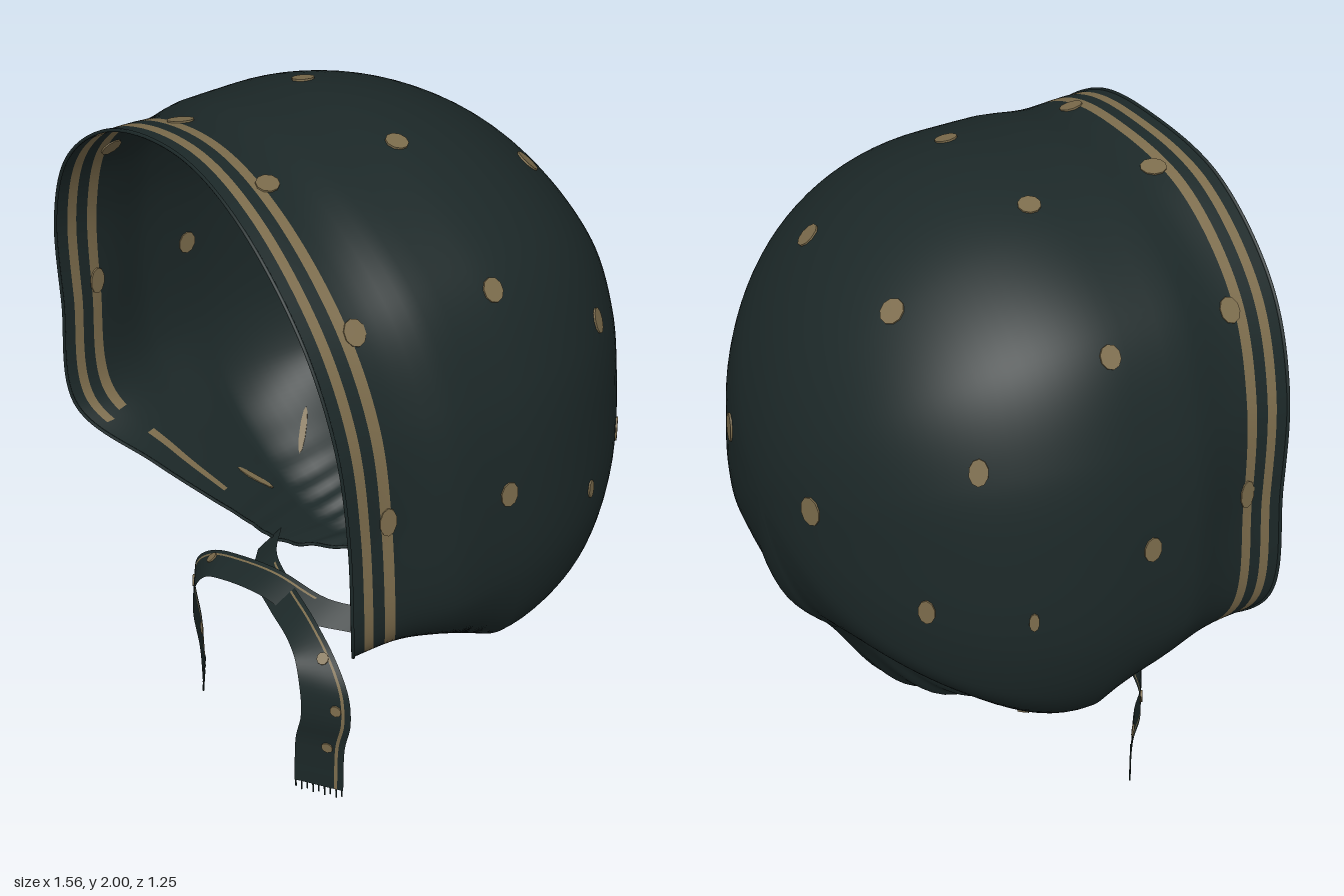
import * as THREE from 'three';

const cloth = new THREE.MeshStandardMaterial({ color: 0x1c2828, side: THREE.DoubleSide });
cloth.name = 'dark cloth';
const gold = new THREE.MeshStandardMaterial({ color: 0x7c6c4c, side: THREE.DoubleSide });
gold.name = 'old gold';

const BACK = -0.62, MID = 1.2;
const { smoothstep: smooth, lerp } = THREE.MathUtils;

// Half loops from the crown down the side to the nape; mirrored into closed curves
const rimHalf = [
  [0, 2.0, 0.605], [0.3, 1.945, 0.62], [0.55, 1.755, 0.62], [0.677, 1.5, 0.605], [0.708, 1.2, 0.585],
  [0.7, 0.85, 0.57], [0.5, 0.7, 0.43], [0.3, 0.57, 0.28], [0.22, 0.48, 0.18], [0.16, 0.425, 0.02], [0, 0.425, -0.14]];
// Widest outline of the hood; third value is the depth where the back starts to round off
const girthHalf = [
  [0, 2.0, 0.15], [0.315, 1.94, 0.15], [0.585, 1.77, 0.13], [0.722, 1.5, 0.1], [0.772, 1.2, 0.1],
  [0.764, 0.9, 0.08], [0.66, 0.66, 0.05], [0.44, 0.51, 0.03], [0.26, 0.44, 0], [0.15, 0.415, -0.1], [0, 0.41, -0.17]];

function closedLoop(half) {
  const mirrored = half.slice(1, -1).reverse().map(([x, y, z]) => [-x, y, z]);
  return new THREE.CatmullRomCurve3([...half, ...mirrored].map(p => new THREE.Vector3(...p)), true, 'catmullrom', 0.5);
}
const rim = closedLoop(rimHalf), girth = closedLoop(girthHalf);

// Grid surface in two colours: rows x cols of points, gold where isGold(i, j) says so
function sheet(name, nu, nv, closed, point, isGold) {
  const pos = [], plain = [], marked = [];
  const stride = nv + 1, columns = closed ? nu : nu + 1;
  for (let i = 0; i < columns; i++)
    for (let j = 0; j <= nv; j++) pos.push(...point(i, j).toArray());
  for (let i = 0; i < nu; i++) {
    const n = (i + 1) % columns;
    for (let j = 0; j < nv; j++) {
      const a = i * stride + j, b = n * stride + j;
      (isGold(i, j) ? marked : plain).push(a, b, a + 1, b, b + 1, a + 1);
    }
  }
  const g = new THREE.BufferGeometry();
  g.setAttribute('position', new THREE.Float32BufferAttribute(pos, 3));
  g.setIndex([...plain, ...marked]);
  g.addGroup(0, plain.length, 0);
  g.addGroup(plain.length, marked.length, 1);
  g.computeVertexNormals();
  const mesh = new THREE.Mesh(g, [cloth, gold]);
  mesh.name = name;
  return mesh;
}

// Front part runs from the rim (w = 1) to the girth (w = 0), then the back closes to a pole
const frontSteps = [1, 0.925, 0.868, 0.798, 0.735, 0.66, 0.58, 0.5, 0.42, 0.34, 0.22, 0.1, 0];
const backSteps = 30;
function hoodPoint(t, j) {
  const r = rim.getPoint(t), o = girth.getPoint(t), p = new THREE.Vector3();
  if (j < frontSteps.length) {
    // Turned in sharply at the front edge, sloping evenly under the jaw
    const w = frontSteps[j], jaw = 1 - smooth(r.y, 0.68, 0.86);
    const b = lerp(smooth(w, 0.3, 0.88), w, jaw);
    const pinch = 1 - 0.013 * (1 - jaw) * Math.sin(Math.PI * b);
    p.set(lerp(o.x, r.x, b) * pinch, MID + (lerp(o.y, r.y, b) - MID) * pinch, lerp(o.z, r.z, w));
  } else {
    // Rounded back, drawn in slightly toward the nape
    const a = (j - frontSteps.length + 1) / backSteps * Math.PI / 2;
    const c = Math.max(Math.cos(a), 0), low = 1 - smooth(o.y, 0.4, 0.75);
    const f = c * (1 - 0.21 * low * Math.sin(Math.PI * Math.pow(c, 2.8)));
    p.set(o.x * f, MID + (o.y - MID) * f, o.z - (o.z - BACK) * Math.sin(a));
  }
  // Fine gathers fading upward from the neck
  const fold = 0.005 * (1 - smooth(p.y, 0.42, 0.66)) * Math.sin(t * Math.PI * 2 * 42 + 2 * Math.sin(t * 40));
  const d = new THREE.Vector3(p.x, p.y - MID, 0);
  if (d.length() > 0.1) p.addScaledVector(d.normalize(), fold);
  return p;
}

// Flat spot laid on the nearest place of a surface, showing on both faces
function spot(surface, x, y, z, rx, ry) {
  const pos = surface.geometry.attributes.position, nor = surface.geometry.attributes.normal;
  const target = new THREE.Vector3(x, y, z), v = new THREE.Vector3();
  let best = 0, bestD = Infinity;
  for (let i = 0; i < pos.count; i++) {
    const d = v.fromBufferAttribute(pos, i).distanceToSquared(target);
    if (d < bestD) { bestD = d; best = i; }
  }
  v.fromBufferAttribute(pos, best);
  const n = new THREE.Vector3().fromBufferAttribute(nor, best);
  target.addScaledVector(n, -target.clone().sub(v).dot(n));
  const g = new THREE.CylinderGeometry(1, 1, 0.008, 10).rotateX(Math.PI / 2).scale(rx, ry, 1);
  const mesh = new THREE.Mesh(g, gold);
  mesh.name = 'spot';
  mesh.position.copy(target);
  mesh.lookAt(target.clone().add(n));
  return mesh;
}

// Tie ribbon crossing under the chin, then hanging down with a frayed end
function ribbon(side, lift) {
  const group = new THREE.Group();
  group.name = side > 0 ? 'leftTie' : 'rightTie';
  const path = new THREE.CatmullRomCurve3([
    [-0.24, 0.49, 0.21], [-0.13, 0.5, 0.3], [0.03, 0.505 + lift, 0.35], [0.17, 0.498, 0.38], [0.27, 0.462, 0.4],
    [0.33, 0.395, 0.412], [0.342, 0.3, 0.415], [0.312, 0.19, 0.415], [0.303, 0.03 + 1.2 * lift, 0.415],
  ].map(p => new THREE.Vector3(...p)));
  const across = [-1, -0.4, 0.2, 0.62, 0.75, 1];
  const edge = t => {
    const turn = smooth(t, 0.3, 0.66);
    return new THREE.Vector3(0.061 * turn, 0.022 * (1 - turn), -0.042);
  };
  const at = (t, u) => {
    const p = path.getPoint(t).addScaledVector(edge(t), u);
    p.x *= side;
    return p;
  };
  const band = sheet('tieRibbon', 48, 5, false, (i, j) => at(i / 48, across[j]), (i, j) => j === 3 && i > 6);
  group.add(band);
  for (const [t, u] of [[0.5, 0.4], [0.7, 0.4], [0.88, 0.3]]) {
    const p = at(t, u);
    group.add(spot(band, p.x, p.y, p.z, 0.017, 0.018));
  }
  for (let k = 0; k < 9; k++) {
    const len = 0.022 + 0.008 * (k % 2);
    const thread = new THREE.Mesh(new THREE.BoxGeometry(0.004, len, 0.003), cloth);
    thread.name = 'fringeThread';
    thread.position.copy(at(1, -0.95 + k * 0.237)).y -= len / 2;
    group.add(thread);
  }
  return group;
}

export function createModel() {
  const model = new THREE.Group();
  model.name = 'bonnet';

  // Hood with two trim stripes along the front edge; the inner one reappears under the jaw
  const N = 300, rows = frontSteps.length - 1 + backSteps;
  const hood = sheet('hood', N, rows, true, (i, j) => hoodPoint(i / N, j), (i, j) => {
    const y = rim.getPoint((i + 0.5) / N).y;
    return (j === 1 && y > 0.78) || (j === 3 && (y > 0.8 || (y > 0.61 && y < 0.745)));
  });
  model.add(hood);

  // Rolled hem along the opening
  const hemPath = new THREE.CatmullRomCurve3(Array.from({ length: 150 }, (_, i) => hoodPoint(i / 150, 0)), true);
  const hem = new THREE.Mesh(new THREE.TubeGeometry(hemPath, 300, 0.005, 6, true), cloth);
  hem.name = 'hem';
  model.add(hem);

  // Scattered spots, mirrored left and right: position, half width, half height
  const spots = [
    [0.235, 1.26, -0.59, 0.034, 0.042], [0.24, 1.82, -0.36, 0.034, 0.036], [0.62, 1.5, -0.31, 0.026, 0.037],
    [0.54, 1.07, -0.41, 0.024, 0.037], [0.73, 1.06, -0.2, 0.014, 0.028], [0.215, 1.98, 0.085, 0.031, 0.031],
    [0.62, 1.73, 0.08, 0.029, 0.033], [0.77, 1.21, 0.13, 0.027, 0.036],
    // spots cut by the inner stripe
    [0.205, 1.98, 0.474, 0.036, 0.03], [0.61, 1.75, 0.476, 0.03, 0.036], [0.71, 1.23, 0.468, 0.024, 0.042],
    // slivers caught in the gathers
    [0.45, 0.53, 0.14, 0.012, 0.062], [0.52, 0.59, -0.1, 0.01, 0.075],
  ];
  for (const [x, y, z, rx, ry] of spots)
    for (const s of [1, -1]) model.add(spot(hood, s * x, y, z, rx, ry));

  // Ties
  model.add(ribbon(1, 0), ribbon(-1, 0.016));
  return model;
}
